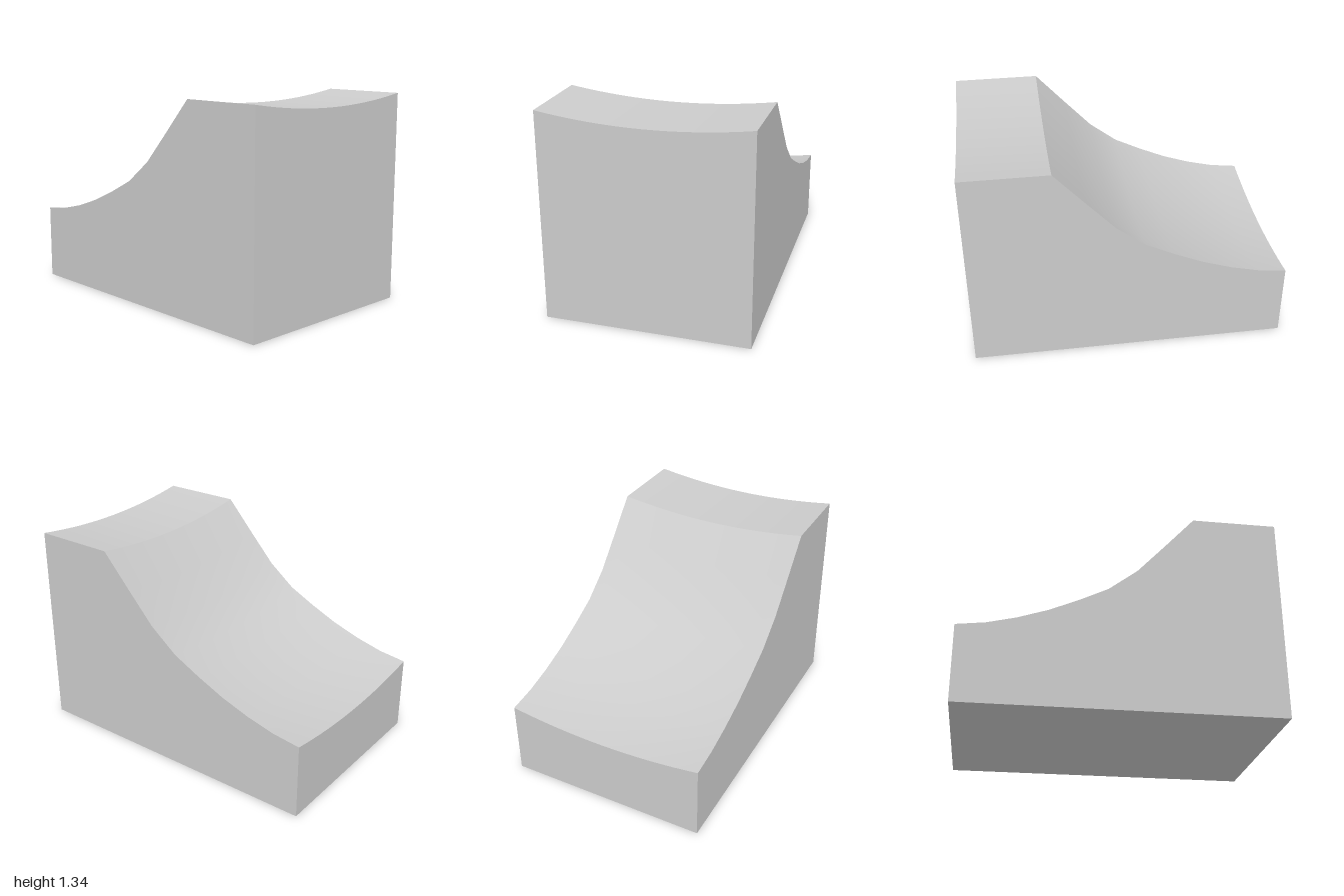
import * as THREE from 'three';
import { toCreasedNormals } from 'three/addons/utils/BufferGeometryUtils.js';

const HALF_WIDTH = 0.645;
const SAG = 0.052; // dip of the top surface along the centre line

// Side outline of the top surface as [z, y], front to back
const TOP = [
  [1, 1.335], [0.46, 1.335], [0.27, 1.125], [0.09, 0.93], [-0.09, 0.79],
  [-0.27, 0.7], [-0.45, 0.62], [-0.64, 0.555], [-0.82, 0.51], [-1, 0.487],
];

export function createModel() {
  const group = new THREE.Group();
  group.name = 'rampBlock';

  // Side profile, extruded across the width
  const outline = [[-1, 0], [1, 0], ...TOP].map(([z, y]) => new THREE.Vector2(-z, y));
  const extruded = new THREE.ExtrudeGeometry(new THREE.Shape(outline), {
    depth: HALF_WIDTH * 2, steps: 16, bevelEnabled: false,
  });
  extruded.translate(0, 0, -HALF_WIDTH).rotateY(Math.PI / 2);

  // Hollow the platform and ramp gently across the width
  const pos = extruded.attributes.position;
  for (let i = 0; i < pos.count; i++) {
    const t = pos.getX(i) / HALF_WIDTH;
    if (pos.getY(i) > 0.01) pos.setY(i, pos.getY(i) - SAG * (1 - t * t));
  }

  // Smooth ramp, sharp edge where it meets the platform
  const ramp = new THREE.Mesh(
    toCreasedNormals(extruded, 0.5),
    new THREE.MeshStandardMaterial({ color: 0xcccccc }),
  );
  ramp.name = 'curvedRamp';
  group.add(ramp);
  return group;
}
